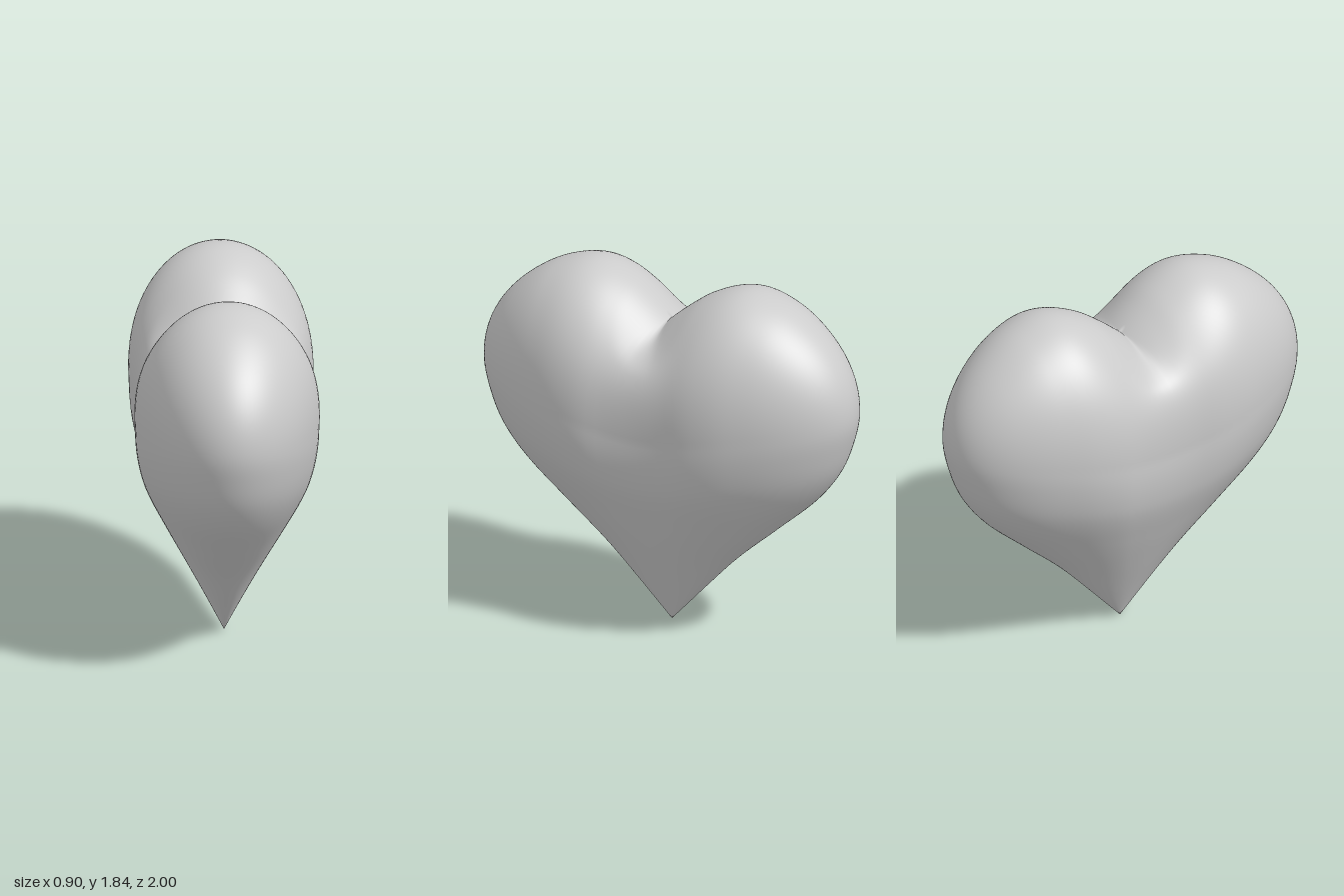
import * as THREE from 'three';
import { mergeVertices } from 'three/addons/utils/BufferGeometryUtils.js';

// Smooth curve through [position, value] pairs
function curve(points) {
  const c = new THREE.CubicInterpolant(points.map(p => p[0]), points.map(p => p[1]), 1);
  return t => c.evaluate(t)[0];
}

// Height of the widest line, which rises from the middle out to the two lobes
const lift = curve([[0, 0.805], [0.1, 0.905], [0.2, 1], [0.4, 1.14], [0.6, 1.205], [0.8, 1.235], [1, 1.26], [1.2, 1.28]]);
// Lower half: depth and width from the tip (0) up to the widest line (1)
const depth = curve([[0, 0], [0.079, 0.09], [0.159, 0.18], [0.317, 0.365], [0.476, 0.585],
  [0.635, 0.8], [0.754, 0.91], [0.873, 0.97], [1, 1], [1.12, 0.97]]);
const width = curve([[0, 0], [0.182, 0.1], [0.364, 0.2], [0.545, 0.295], [0.727, 0.38],
  [0.818, 0.405], [0.909, 0.418], [1, 0.42], [1.1, 0.415]]);
// The lobes are thicker than the waist between them
const bulge = curve([[-0.15, 0.03], [0, 0], [0.15, 0.03], [0.3, 0.115], [0.45, 0.165], [0.6, 0.175], [0.8, 0.185], [1, 0.19]]);

// Point on the heart: theta runs from the dip (0) to the tip (PI), phi goes around
function heartPoint(theta, phi) {
  const lower = theta > Math.PI / 2;
  const ring = lower ? 1 : Math.sin(theta);
  const X = ring * Math.cos(phi), Z = ring * Math.sin(phi);
  const side = Math.abs(Z);
  // The crease is sharp in the dip and softens towards the sides
  const middle = lift(Math.hypot(side, 0.33 * Math.abs(X) ** 3));
  if (lower) {
    const t = 2 * (1 - theta / Math.PI);
    return [X * width(t) * (1 + bulge(side) * t), middle * t, Z * depth(t)];
  }
  const up = Math.cos(theta);
  return [0.42 * X * (1 + bulge(side)) * (1 + 0.12 * up), middle + (0.8 - 0.1 * side) * up, Z];
}

export function createModel() {
  const group = new THREE.Group();
  group.name = 'heart';

  // Sphere grid reshaped into a heart
  let geometry = new THREE.SphereGeometry(1, 128, 96);
  const { position, uv } = geometry.attributes;
  for (let i = 0; i < position.count; i++) {
    const [x, y, z] = heartPoint((1 - uv.getY(i)) * Math.PI, uv.getX(i) * 2 * Math.PI);
    position.setXYZ(i, -x, y, z);
  }

  // Weld the seam so that the normals run smoothly around
  geometry.deleteAttribute('uv');
  geometry.deleteAttribute('normal');
  geometry = mergeVertices(geometry, 1e-5);
  geometry.computeVertexNormals();

  const body = new THREE.Mesh(geometry, new THREE.MeshStandardMaterial({ color: 0xcccccc }));
  body.name = 'heartBody';
  group.add(body);
  return group;
}
